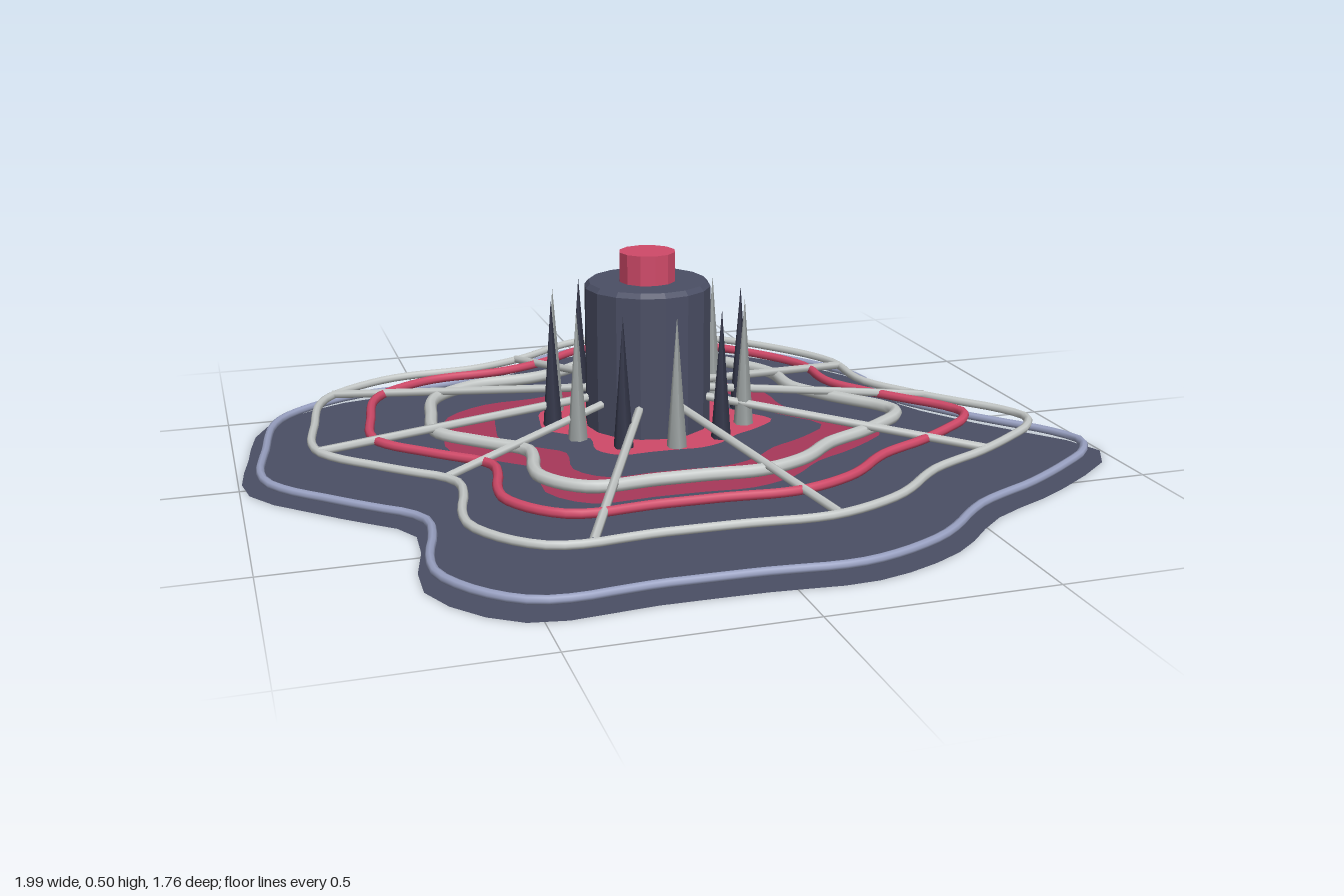
import * as THREE from 'three';

const CX = -0.055, CZ = 0.037; // shared centre of hub and rings

const mat = (name, color, side = THREE.FrontSide) => {
  const m = new THREE.MeshStandardMaterial({ color, side });
  m.name = name;
  return m;
};

// outline radius every 15 degrees, from +x towards +z
const RADII = [0.865, 1.09, 0.97, 0.86, 0.875, 0.87, 0.83, 0.855, 0.955, 0.90, 0.70, 0.77,
  0.925, 0.945, 0.985, 0.91, 0.78, 0.78, 0.893, 0.941, 0.925, 0.888, 0.855, 0.775];
const polar = (r, a, y = 0) => new THREE.Vector3(r * Math.cos(a), y, r * Math.sin(a));
const outline = new THREE.CatmullRomCurve3(
  RADII.map((r, i) => polar(r, i * Math.PI / 12)), true, 'catmullrom', 0.5);

const ringPoints = (scale, y, n = 72) => Array.from({ length: n }, (_, i) =>
  outline.getPoint(i / n).multiplyScalar(scale).setY(y));

export function createModel() {
  const slate = mat('slate', 0x4b4f65);
  const slateSheet = mat('slate sheet', 0x4b4f65, THREE.DoubleSide);
  const crimson = mat('crimson sheet', 0xa8385a, THREE.DoubleSide);
  const rose = mat('rose', 0xd04a69, THREE.DoubleSide);
  const silver = mat('silver', 0xc6cac9);
  const grey = mat('grey', 0x9da3a3);
  const dark = mat('dark', 0x34374a);
  const lavender = mat('lavender', 0x99a1c2);

  const root = new THREE.Group();
  const body = new THREE.Group();
  body.name = 'body';
  body.position.set(CX, 0, CZ);
  root.add(body);
  const add = (name, geo, material) => {
    const m = new THREE.Mesh(geo, material);
    m.name = name;
    body.add(m);
    return m;
  };

  // stacked flat sheets, each a smaller copy of the outline
  const sheets = [[1, slateSheet], [0.9, slateSheet], [0.765, slateSheet], [0.615, slateSheet],
    [0.51, crimson], [0.38, slateSheet], [0.27, rose]];
  sheets.forEach(([scale, m], i) => {
    const shape = new THREE.Shape(ringPoints(scale, 0).map(p => new THREE.Vector2(p.x, -p.z)));
    add('sheet' + i, new THREE.ShapeGeometry(shape).rotateX(-Math.PI / 2), m).position.y = i * 0.015;
  });

  // rim and contour tubes
  const tubes = [['rimTube', 0.955, 0.027, 0.01, lavender], ['outerTube', 0.83, 0.088, 0.01, silver],
    ['middleTube', 0.69, 0.102, 0.011, rose], ['innerTube', 0.54, 0.108, 0.015, silver]];
  for (const [name, scale, y, r, m] of tubes) {
    const path = new THREE.CatmullRomCurve3(ringPoints(scale, y), true);
    add(name, new THREE.TubeGeometry(path, 144, r, 8, true), m);
  }

  // spokes sloping from the hub down to the outer tube
  const spokeAngles = [0, 32, 74, 114, 154, 180, 212, 253, 294, 334];
  spokeAngles.forEach((deg, i) => {
    const a = deg * Math.PI / 180;
    const end = outline.getPoint(deg / 360).multiplyScalar(0.83).setY(0.09);
    const path = new THREE.LineCurve3(polar(0.12, a, 0.163), end);
    add('spoke' + i, new THREE.TubeGeometry(path, 1, 0.01, 6), silver);
  });

  // ring of upright spikes in alternating tones
  for (let i = 0; i < 12; i++) {
    const spike = add('spike' + i, new THREE.ConeGeometry(0.023, 0.3, 6), i % 2 ? grey : dark);
    spike.position.copy(polar(0.23, i * Math.PI / 6, 0.25));
  }

  // bevelled hub and its cap
  const hubProfile = [[0, 0.05], [0.137, 0.05], [0.147, 0.06], [0.147, 0.42], [0.137, 0.431], [0, 0.431]];
  const hub = new THREE.LatheGeometry(hubProfile.map(p => new THREE.Vector2(...p)), 16).toNonIndexed();
  hub.computeVertexNormals();
  add('hub', hub, slate);
  const cap = new THREE.CylinderGeometry(0.066, 0.066, 0.07, 12).toNonIndexed();
  cap.computeVertexNormals();
  add('cap', cap, rose).position.y = 0.465;

  return root;
}
